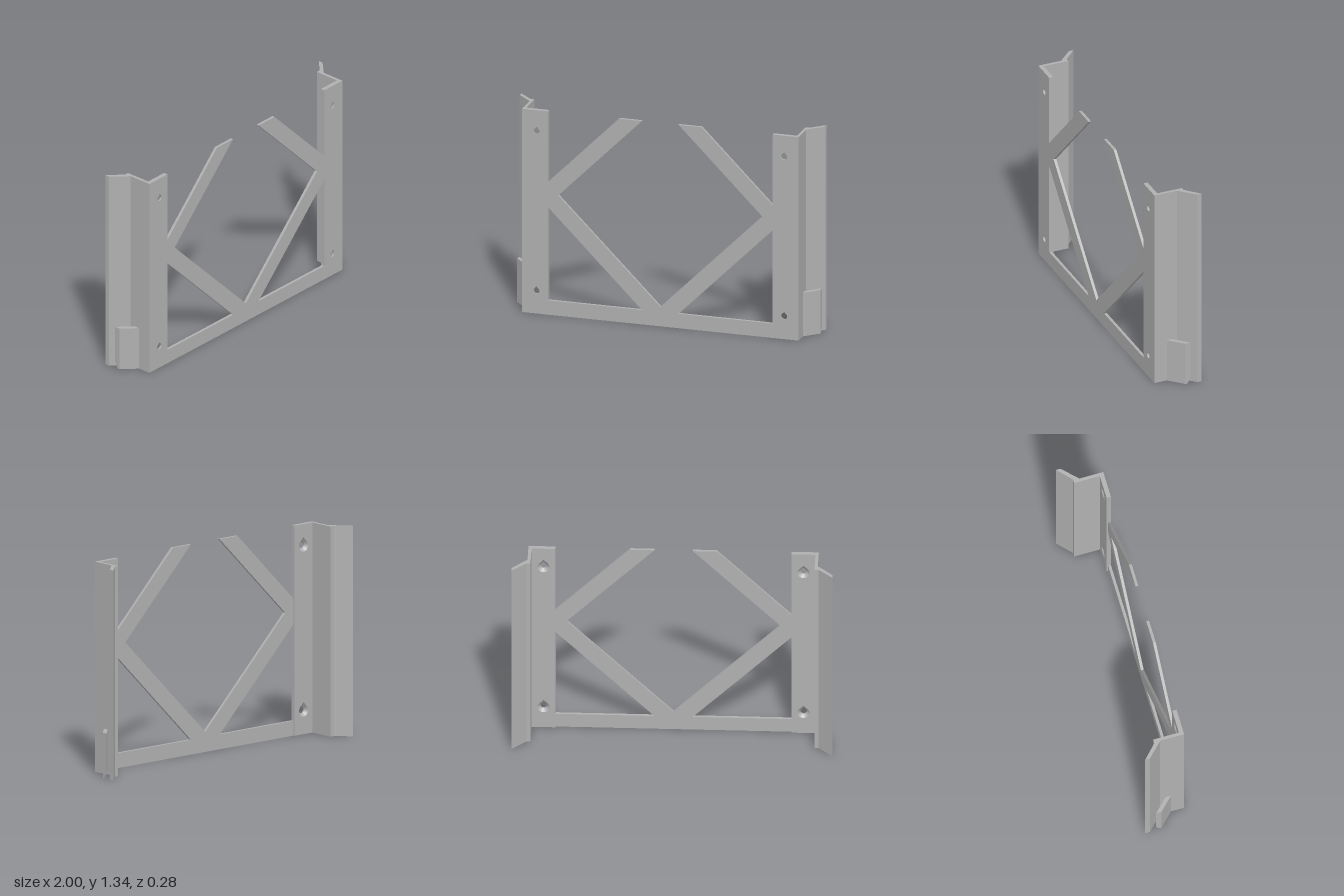
import * as THREE from 'three';

const H = 1.338;      // overall height
const FRONT = 0.14;   // z of the front face
const SEG = 24;

const v = (pts) => pts.map(([x, y]) => new THREE.Vector2(x, y));
const extrude = (shape, depth) => new THREE.ExtrudeGeometry(shape, { depth, bevelEnabled: false });

// Radius factor of a round hole with a 45 degree pointed top
function teardrop(angle) {
  let d = Math.abs(angle - Math.PI / 2);
  if (d > Math.PI) d = 2 * Math.PI - d;
  return d < Math.PI / 4 ? 1 / Math.cos(Math.PI / 4 - d) : 1;
}

function holePath(cx, cy, r) {
  const pts = [];
  for (let i = 0; i < SEG; i++) {
    const a = (i / SEG) * Math.PI * 2, k = r * teardrop(a);
    pts.push(new THREE.Vector2(cx + k * Math.cos(a), cy + k * Math.sin(a)));
  }
  return new THREE.Path(pts);
}

// Sloping wall of a countersunk screw hole, facing inwards
function countersink(rFront, rBack, depth) {
  const g = new THREE.CylinderGeometry(rFront, rBack, depth, SEG, 1, true).rotateX(Math.PI / 2);
  const p = g.attributes.position;
  for (let i = 0; i < p.count; i++) {
    const k = teardrop(Math.atan2(p.getY(i), p.getX(i)));
    p.setXY(i, p.getX(i) * k, p.getY(i) * k);
  }
  g.index.array.reverse();
  g.computeVertexNormals();
  return g;
}

export function createModel() {
  const model = new THREE.Group();
  model.name = 'bracket';
  const grey = new THREE.MeshStandardMaterial({ color: 0xb0b0b0 });
  grey.name = 'grey';

  const add = (parent, name, geo, x = 0, y = 0, z = 0) => {
    const m = new THREE.Mesh(geo, grey);
    m.name = name;
    m.position.set(x, y, z);
    parent.add(m);
  };

  // Thin front web: bottom bar and crossing diagonal braces
  const half = [[0.735, 0], [0.735, 0.095], [0.12, 0.095], [0.735, 0.708], [0.735, 0.873],
    [0.27, H], [0.12, H], [0.667, 0.792]];
  const outline = [...half, [0, 0.128], ...half.map(([x, y]) => [-x, y]).reverse()];
  add(model, 'frontWeb', extrude(new THREE.Shape(v(outline)), 0.018), 0, 0, FRONT - 0.018);

  // Screw plate, in two layers so that the holes can be countersunk at the back
  const holeX = 0.81, holeYs = [0.15, 1.2];
  const rFront = 0.02, rBack = 0.038, skin = 0.01, back = 0.018;
  const plate = (r, depth) => {
    const s = new THREE.Shape(v([[0.735, 0], [0.905, 0], [0.905, H], [0.735, H]]));
    for (const y of holeYs) s.holes.push(holePath(holeX, y, r));
    return extrude(s, depth);
  };

  // Side wall and outward flange, drawn from above as [x, -z]
  const wall = extrude(new THREE.Shape(v([[0.885, -FRONT], [0.905, -FRONT], [0.905, 0.015],
    [1, 0.11], [1, 0.14], [0.91, 0.055], [0.885, 0.055]])), H).rotateX(-Math.PI / 2);

  // Short clip parallel to the flange, tapered at its foot
  const clip = extrude(new THREE.Shape(v([[-0.055, 0], [-0.04, 0], [-0.02, 0.04],
    [-0.02, 0.287], [-0.055, 0.287]])), 0.087);
  const p = clip.attributes.position;
  for (let i = 0; i < p.count; i++) {
    const s = p.getZ(i);
    p.setXYZ(i, 0.905 + s, p.getY(i), -p.getX(i) - s);
  }
  clip.computeVertexNormals();

  for (const side of [1, -1]) {
    const post = new THREE.Group();
    post.name = side > 0 ? 'leftPost' : 'rightPost';
    post.scale.x = side;
    add(post, 'screwPlateFront', plate(rFront, skin), 0, 0, FRONT - skin);
    add(post, 'screwPlateBack', plate(rBack, back), 0, 0, FRONT - skin - back);
    for (const y of holeYs) {
      add(post, 'countersink', countersink(rFront, rBack, back), holeX, y, FRONT - skin - back / 2);
    }
    add(post, 'sideWallAndFlange', wall);
    add(post, 'clip', clip);
    model.add(post);
  }
  return model;
}
